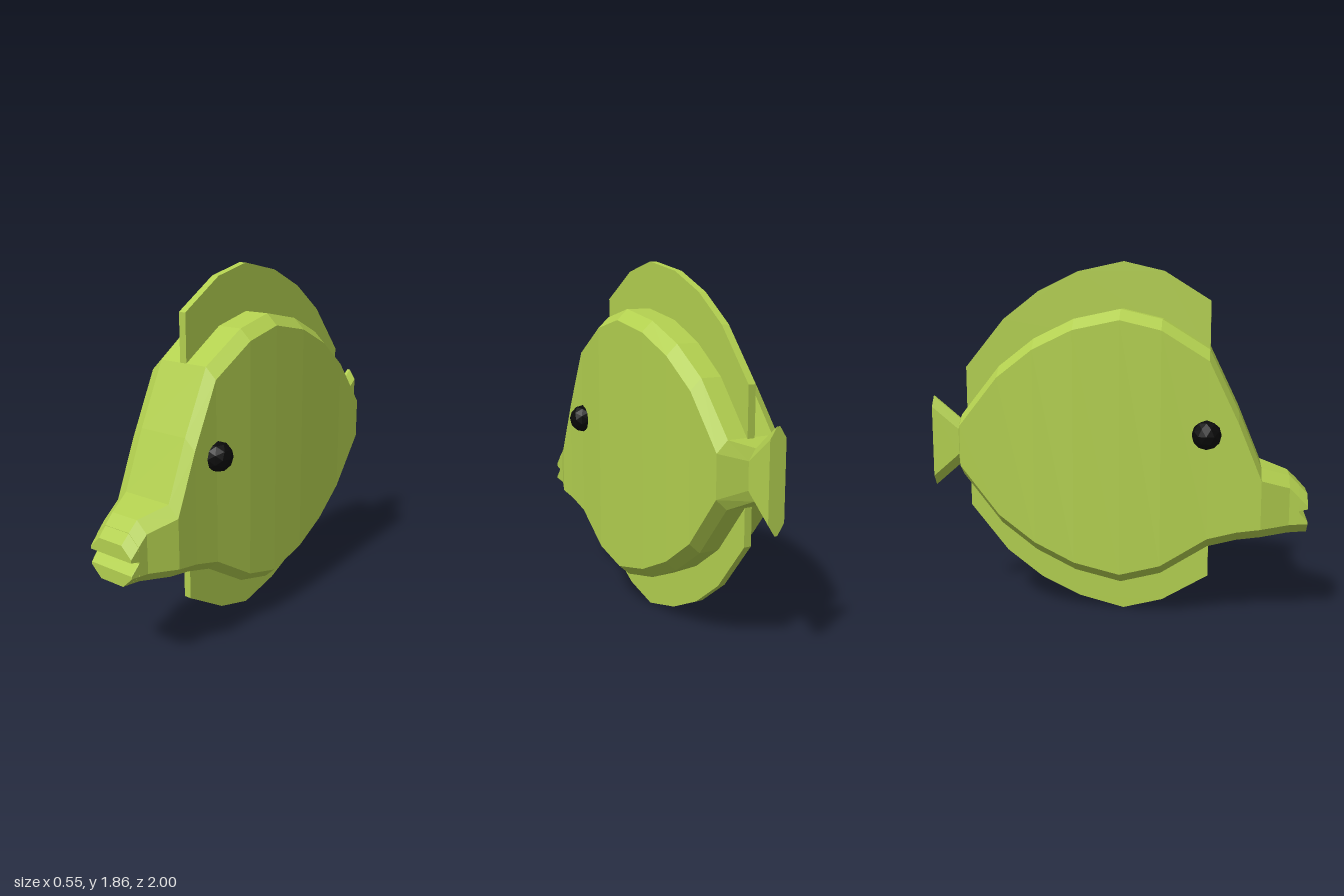
import * as THREE from 'three';

const green = new THREE.MeshStandardMaterial({ color: 0xb2cf4f, flatShading: true });
green.name = 'lime green';
const black = new THREE.MeshStandardMaterial({ color: 0x0a0a0a, flatShading: true });
black.name = 'eye black';

// Eight-sided section with bevelled corners: top and bottom heights, side-edge heights
function section(z, w, top, bottom, topSide = top - 0.055, bottomSide = bottom + 0.055, inTop = null, inBottom = null) {
  const a = inTop ?? Math.max(w - 0.06, 0.008);
  const b = inBottom ?? Math.max(w - 0.06, 0.008);
  return [
    [a, top], [-a, top], [-w, topSide], [-w, bottomSide],
    [-b, bottom], [b, bottom], [w, bottomSide], [w, topSide],
  ].map(([x, y]) => [x, y, z]);
}

// Skin sections listed from back to front and cap both ends
function loft(name, rings) {
  const pos = [];
  const tri = (...pts) => pts.forEach((p) => pos.push(...p));
  for (let k = 0; k < rings.length - 1; k++) {
    for (let j = 0; j < 8; j++) {
      const n = (j + 1) % 8;
      const [a, b, c, d] = [rings[k][j], rings[k][n], rings[k + 1][n], rings[k + 1][j]];
      tri(a, b, c);
      tri(a, c, d);
    }
  }
  const back = rings[0], front = rings[rings.length - 1];
  for (let j = 1; j < 7; j++) {
    tri(back[0], back[j + 1], back[j]);
    tri(front[0], front[j], front[j + 1]);
  }
  const geo = new THREE.BufferGeometry();
  geo.setAttribute('position', new THREE.Float32BufferAttribute(pos, 3));
  geo.computeVertexNormals();
  const mesh = new THREE.Mesh(geo, green);
  mesh.name = name;
  return mesh;
}

// Thin plate cut from a side profile of [z, y] points
function fin(name, points) {
  const shape = new THREE.Shape(points.map(([z, y]) => new THREE.Vector2(z, y)));
  const geo = new THREE.ExtrudeGeometry(shape, { depth: 0.04, bevelEnabled: false });
  geo.translate(0, 0, -0.02);
  geo.rotateY(-Math.PI / 2);
  const mesh = new THREE.Mesh(geo, green);
  mesh.name = name;
  return mesh;
}

export function createModel() {
  const fish = new THREE.Group();
  fish.name = 'fish';

  // Body and flared tail: z, half width, top, bottom
  const body = [
    [-1.0, 0.045, 1.15, 0.66],
    [-0.855, 0.045, 1.03, 0.785],
    [-0.805, 0.185, 1.07, 0.75],
    [-0.6, 0.19, 1.325, 0.49],
    [-0.41, 0.2, 1.47, 0.35],
    [-0.2, 0.21, 1.57, 0.25],
    [0.04, 0.215, 1.62, 0.195],
    [0.25, 0.215, 1.57, 0.25],
    [0.49, 0.202, 1.42, 0.4],
    [0.64, 0.2, 1.11, 0.44],
    [0.76, 0.2, 0.82, 0.458],
    [0.905, 0.14, 0.775, 0.472],
    [0.955, 0.137, 0.727, 0.476],
  ];
  fish.add(loft('body', body.map((s) => section(...s))));

  // Lips on either side of the open mouth
  fish.add(loft('upperLip', [
    section(0.95, 0.137, 0.73, 0.6, 0.675, 0.601, 0.077, 0.13),
    section(1.0, 0.133, 0.68, 0.61, 0.625, 0.611, 0.073, 0.13),
  ]));
  fish.add(loft('lowerLip', [
    section(0.95, 0.137, 0.599, 0.476, 0.598, 0.531, 0.13, 0.077),
    section(1.0, 0.133, 0.545, 0.478, 0.544, 0.533, 0.13, 0.073),
  ]));

  // Fins along the back and belly
  fish.add(fin('dorsalFin', [
    [0.49, 1.38], [0.49, 1.66], [0.25, 1.81], [0.04, 1.86], [-0.2, 1.81],
    [-0.41, 1.71], [-0.6, 1.565], [-0.81, 1.31], [-0.81, 1.04],
  ]));
  fish.add(fin('bellyFin', [
    [0.495, 0.43], [0.495, 0.2], [0.25, 0.055], [0.04, 0], [-0.2, 0.06],
    [-0.41, 0.16], [-0.6, 0.305], [-0.8, 0.555], [-0.8, 0.78],
  ]));

  // Eyes
  for (const side of [1, -1]) {
    const eye = new THREE.Mesh(new THREE.IcosahedronGeometry(0.076, 1), black);
    eye.name = side > 0 ? 'leftEye' : 'rightEye';
    eye.position.set(side * 0.2, 0.995, 0.48);
    fish.add(eye);
  }
  return fish;
}
